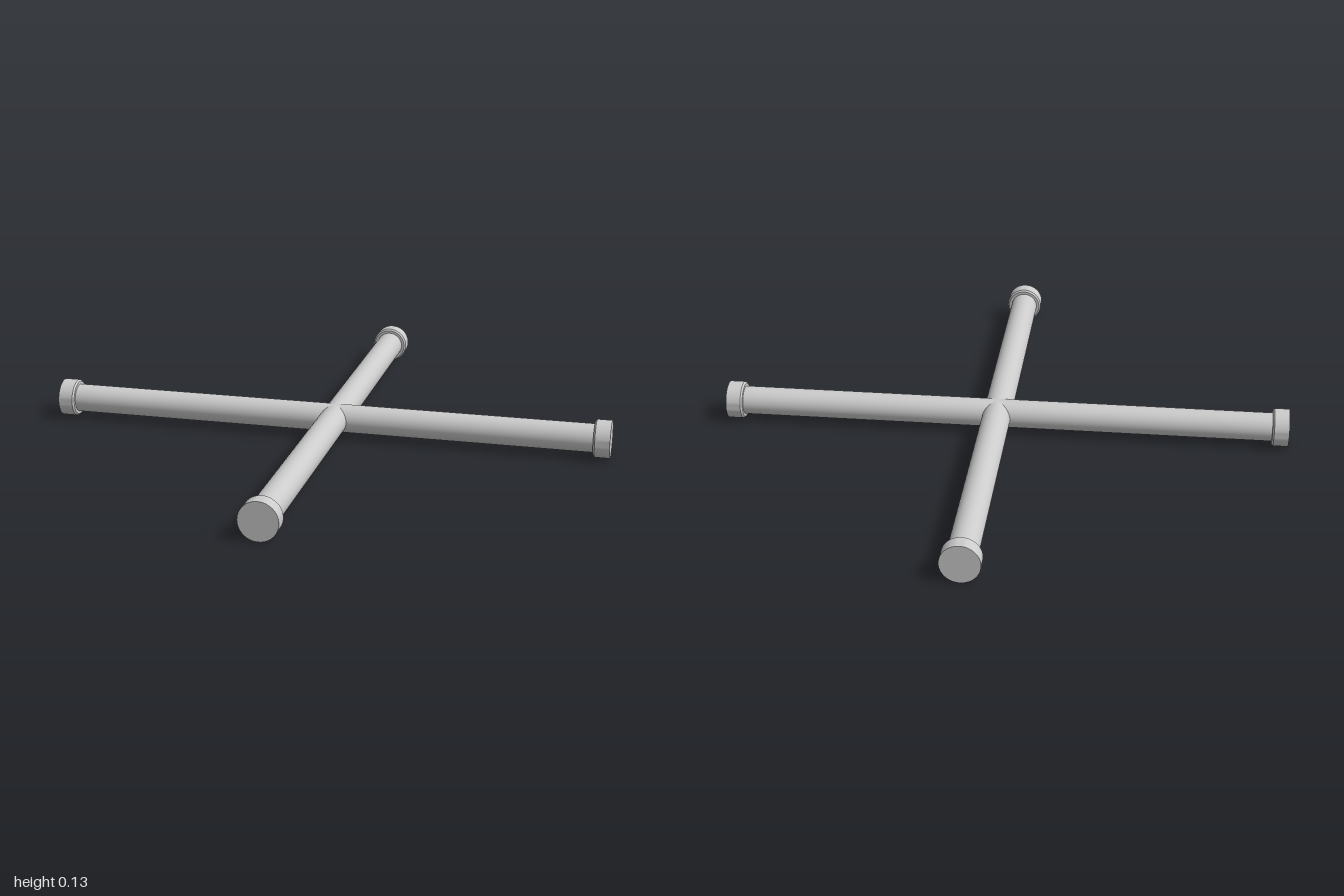
import * as THREE from 'three';
import { toCreasedNormals } from 'three/addons/utils/BufferGeometryUtils.js';

const PIPE_R = 0.05, CAP_R = 0.066, CAP_LEN = 0.058, BEVEL = 0.006;
const CROSS_X = 0.027; // the crossing sits slightly off centre

export function createModel() {
  const group = new THREE.Group();
  const material = new THREE.MeshStandardMaterial({ color: 0xcccccc });

  // End cap profile: bevelled inner rim, flat closed end at y = 0
  const profile = [
    [PIPE_R * 0.9, -CAP_LEN], [CAP_R - BEVEL, -CAP_LEN], [CAP_R, -CAP_LEN + BEVEL],
    [CAP_R, 0], [0, 0],
  ].map(([r, y]) => new THREE.Vector2(r, y));
  const capGeometry = toCreasedNormals(new THREE.LatheGeometry(profile, 48), 0.6);

  // One straight pipe with a cap on each end, built along y
  function cappedPipe(name) {
    const pipe = new THREE.Group();
    pipe.name = name;
    const tube = new THREE.Mesh(
      new THREE.CylinderGeometry(PIPE_R, PIPE_R, 2 - CAP_LEN, 48, 1, true), material);
    tube.name = name + 'Tube';
    pipe.add(tube);
    for (const end of [1, -1]) {
      const cap = new THREE.Mesh(capGeometry, material);
      cap.name = name + (end > 0 ? 'CapA' : 'CapB');
      cap.position.y = end;
      if (end < 0) cap.rotation.x = Math.PI;
      pipe.add(cap);
    }
    group.add(pipe);
    return pipe;
  }

  // Two pipes crossing at right angles in the same plane
  const sidePipe = cappedPipe('sidePipe');
  sidePipe.rotation.z = -Math.PI / 2;
  sidePipe.position.y = CAP_R;

  const frontPipe = cappedPipe('frontPipe');
  frontPipe.rotation.x = Math.PI / 2;
  frontPipe.position.set(CROSS_X, CAP_R, 0);

  return group;
}
